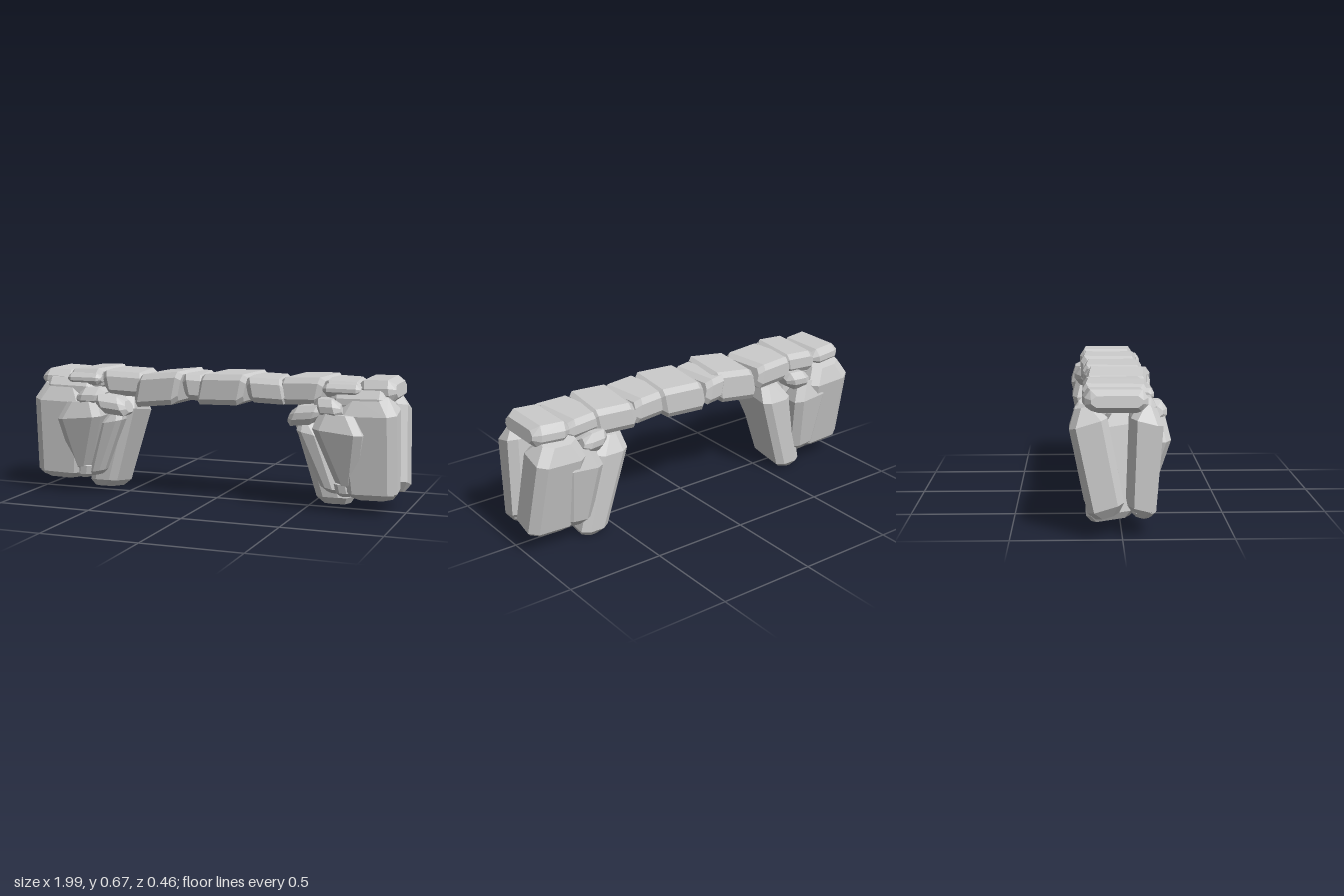
import * as THREE from 'three';
import { ConvexGeometry } from 'three/addons/geometries/ConvexGeometry.js';

const material = new THREE.MeshStandardMaterial({ color: 0xcccccc, flatShading: true });

// Chamfered stone between two centres. Upright stones widen from the foot to a
// shoulder, lying ones keep their section. tilt slants the end faces.
function stone(name, from, to, [breadth, depth], options) {
  const { foot = 1, shoulder = 0.85, cut = 0.03, tilt = [0, 0], upright = false, mirror = 1 } = options;
  const start = new THREE.Vector3(...from), end = new THREE.Vector3(...to);
  const bevel = cut / start.distanceTo(end), points = [];
  const swell = (t) => upright
    ? (t < shoulder ? THREE.MathUtils.lerp(foot, 1, t / shoulder) : THREE.MathUtils.lerp(1, 0.88, (t - shoulder) / (1 - shoulder)))
    : 1;
  for (const t of [0, bevel, upright ? shoulder : 1 - bevel, 1]) {
    const inset = t === 0 || t === 1 ? cut * 0.7 : 0;
    const b = breadth * swell(t) / 2 - inset, d = depth * swell(t) / 2 - inset;
    const centre = start.clone().lerp(end, t);
    // Uneven octagon: each corner is cut by a long and a short step
    for (const [sb, sd] of [[-1, -1], [1, -1], [1, 1], [-1, 1]]) {
      const long = Math.min(cut * 1.1, b * 0.7), short = Math.min(cut * 0.7, d * 0.7);
      for (const [u, z] of [[sb * (b - long), sd * d], [sb * b, sd * (d - short)]]) {
        const slant = u * tilt[0] + z * tilt[1];
        const p = upright ? new THREE.Vector3(u, slant, z) : new THREE.Vector3(slant, u, z);
        p.add(centre);
        p.x *= mirror;
        points.push(p);
      }
    }
  }
  const mesh = new THREE.Mesh(new ConvexGeometry(points), material);
  mesh.name = name;
  return mesh;
}

// One pier: a front and a back row of leaning slabs around an inner slab
function createPier(mirror) {
  const pier = new THREE.Group();
  pier.name = mirror > 0 ? 'leftPier' : 'rightPier';
  const add = (name, from, to, size, options) => pier.add(stone(name, from, to, size, { ...options, mirror }));

  // Outer slabs: the front one nearly plumb, the back one leaning outwards
  add('frontSlab', [0.85, 0.085, 0.085], [0.82, 0.59, 0.115], [0.3, 0.145],
    { upright: true, foot: 0.87, cut: 0.04, tilt: [0.02, -0.25] });
  add('backSlab', [0.87, 0.09, -0.065], [0.835, 0.58, -0.165], [0.27, 0.17],
    { upright: true, foot: 0.96, cut: 0.042, tilt: [0.04, 0.3] });

  // Wedges against the slabs, narrow at the foot
  add('frontWedge', [0.725, 0.11, 0.105], [0.685, 0.505, 0.16], [0.25, 0.16],
    { upright: true, foot: 0.35, shoulder: 0.78, cut: 0.035, tilt: [-0.1, 0] });
  add('backWedge', [0.73, 0.085, -0.11], [0.72, 0.51, -0.165], [0.22, 0.15],
    { upright: true, foot: 0.7, shoulder: 0.78, cut: 0.038, tilt: [0.1, 0] });

  // Inner slab with a strip on each side
  add('innerSlab', [0.64, 0.015, -0.045], [0.505, 0.52, -0.035], [0.18, 0.27],
    { upright: true, foot: 0.85, cut: 0.035, tilt: [0, 0.15] });
  for (const face of [1, -1]) {
    const row = face > 0 ? 'front' : 'back';
    add(`${row}InnerStrip`, [0.645, 0.1, face * 0.09], [0.515, 0.45, face * 0.115], [0.12, 0.11],
      { upright: true, foot: 0.75, cut: 0.025, tilt: [-0.2, 0] });
    // Small stones wedged under the deck
    add(`${row}Ledge`, [0.64, 0.56, face * 0.1], [0.92, 0.565, face * 0.1], [0.11, 0.11], { cut: 0.035 });
    add(`${row}Chock`, [0.57, 0.525, face * 0.135], [0.71, 0.525, face * 0.155], [0.1, 0.13], { tilt: [-0.3, 0], cut: 0.035 });
  }
  add('frontBracket', [0.44, 0.48, 0.13], [0.6, 0.5, 0.15], [0.1, 0.13], { tilt: [0.4, 0] });
  add('footPebble', [0.715, 0.085, 0.09], [0.7, 0.16, 0.1], [0.08, 0.09], { upright: true, cut: 0.02 });
  add('heelPebble', [0.92, 0.09, 0.095], [0.92, 0.17, 0.1], [0.09, 0.1], { upright: true, cut: 0.02 });
  add('coping', [0.6, 0.615, 0.08], [0.79, 0.615, 0.08], [0.06, 0.14], { cut: 0.022 });
  return pier;
}

// Deck: lying stones between joints, slanted alternately
function createDeck() {
  const deck = new THREE.Group();
  deck.name = 'deck';
  const joints = [-0.95, -0.775, -0.6, -0.38, -0.15, -0.04, 0.2, 0.385, 0.6, 0.775, 0.95];
  const undersides = [0.555, 0.555, 0.53, 0.495, 0.525, 0.51, 0.53, 0.53, 0.555, 0.555];
  const centres = [-0.03, -0.022, -0.025, -0.005, -0.022, -0.015, -0.005, -0.025, -0.022, -0.03];
  undersides.forEach((low, i) => {
    const sway = i % 2 ? 1 : -1;
    const isEnd = i === 0 || i === undersides.length - 1;
    const high = 0.662 + 0.005 * sway;
    const lift = i === 3 ? 0.014 : 0.004 * sway;
    const y = (low + high) / 2 - (i === 3 ? 0.006 : 0);
    deck.add(stone(`deckStone${i + 1}`,
      [joints[i] - 0.008, y - lift, centres[i] - 0.008 * sway],
      [joints[i + 1] + 0.008, y + lift, centres[i] + 0.008 * sway],
      [high - low, 0.29 + 0.008 * sway],
      { cut: isEnd ? 0.036 : 0.026, tilt: isEnd ? [0.15 * Math.sign(4 - i) , 0] : [0.2 * sway, -0.12 * sway] }));
  });
  return deck;
}

export function createModel() {
  const model = new THREE.Group();
  model.name = 'stoneBridge';
  model.add(createPier(1), createPier(-1), createDeck());
  return model;
}
